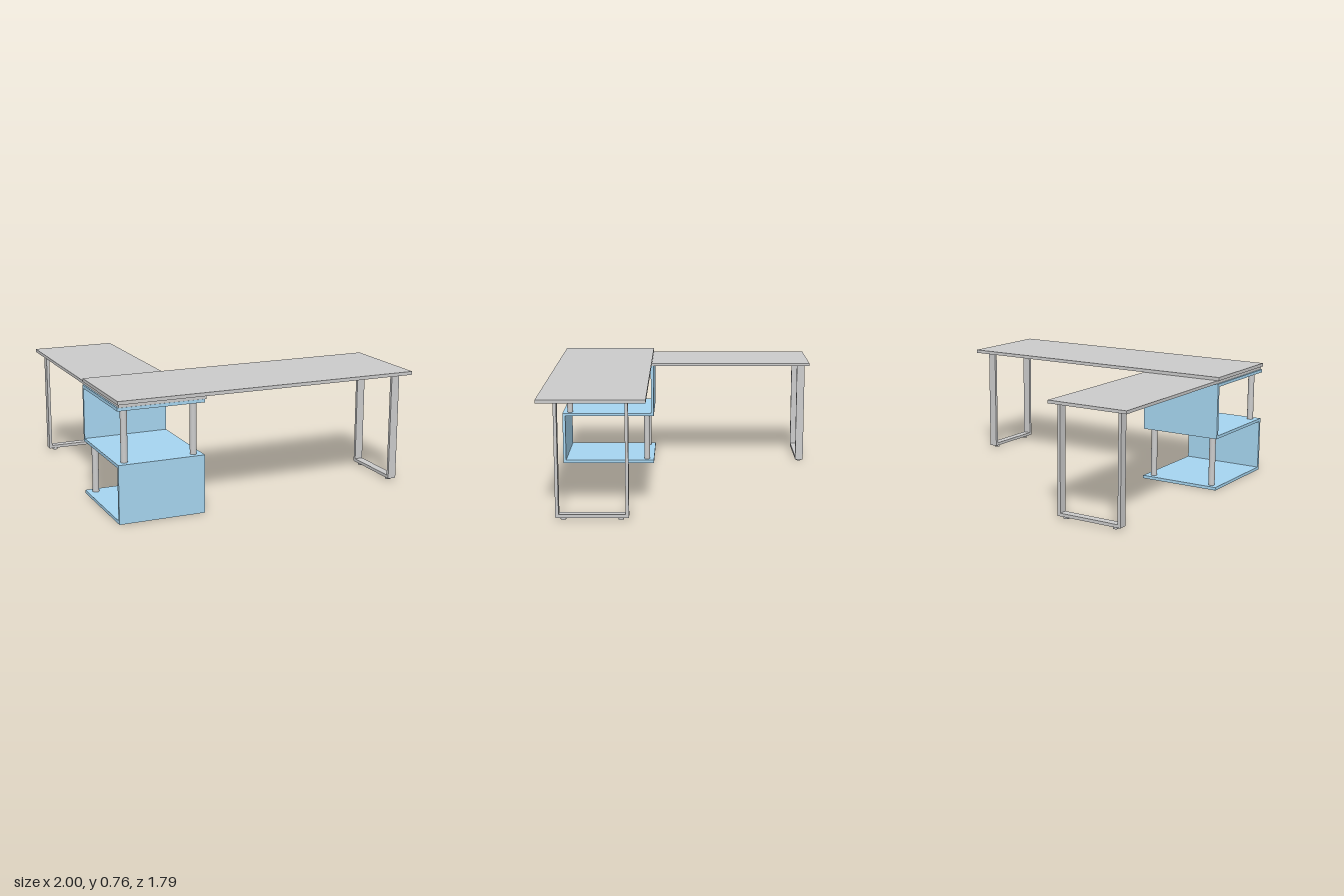
import * as THREE from 'three';

const grey = new THREE.MeshStandardMaterial({ color: 0xcccccc });
const blue = new THREE.MeshStandardMaterial({ color: 0xa6d5f0 });

// Slab given by its minimum and maximum corners
function slab(name, [x0, y0, z0], [x1, y1, z1]) {
  const mesh = new THREE.Mesh(new THREE.BoxGeometry(x1 - x0, y1 - y0, z1 - z0), grey);
  mesh.name = name;
  mesh.position.set((x0 + x1) / 2, (y0 + y1) / 2, (z0 + z1) / 2);
  return mesh;
}

// Upright cylinder between two heights
function post(name, radius, x, z, y0, y1) {
  const mesh = new THREE.Mesh(new THREE.CylinderGeometry(radius, radius, y1 - y0, 32), grey);
  mesh.name = name;
  mesh.position.set(x, (y0 + y1) / 2, z);
  return mesh;
}

// Outline in x and y, extruded along z
function profile(name, points, depth, material) {
  const shape = new THREE.Shape(points.map(([x, y]) => new THREE.Vector2(x, y)));
  const geometry = new THREE.ExtrudeGeometry(shape, { depth, bevelEnabled: false });
  const mesh = new THREE.Mesh(geometry, material);
  mesh.name = name;
  return mesh;
}

// U-shaped flat-bar leg on two round feet, spanning x
function legFrame(name, height) {
  const group = new THREE.Group();
  group.name = name;
  const w = 0.225, t = 0.02, base = 0.015, depth = 0.055;
  const bar = profile('legBar', [
    [-w, base], [w, base], [w, height], [w - t, height],
    [w - t, base + t], [-w + t, base + t], [-w + t, height], [-w, height],
  ], depth, grey);
  bar.position.z = -depth / 2;
  group.add(bar);
  for (const side of [-1, 1]) group.add(post('foot', 0.018, side * 0.177, 0, 0, base));
  return group;
}

export function createModel() {
  const desk = new THREE.Group();
  desk.name = 'cornerDesk';

  // Two overlapping worktops
  desk.add(slab('mainTop', [-1, 0.735, 0.232], [1, 0.757, 0.893]));
  desk.add(slab('returnTop', [-0.99, 0.715, -0.893], [-0.436, 0.735, 0.88]));

  // Leg frames at the free ends
  const mainLeg = legFrame('mainLeg', 0.735);
  mainLeg.rotation.y = Math.PI / 2;
  mainLeg.position.set(0.943, 0, 0.565);
  const returnLeg = legFrame('returnLeg', 0.715);
  returnLeg.position.set(-0.713, 0, -0.837);
  desk.add(mainLeg, returnLeg);

  // Folded shelf: one continuous S-shaped sheet
  const b = 0.222, f = 0.882, t = 0.02;
  const shelf = profile('foldedShelf', [
    [b, 0], [f, 0], [f, 0.368], [b + t, 0.368], [b + t, 0.695], [f, 0.695],
    [f, 0.715], [b, 0.715], [b, 0.348], [f - t, 0.348], [f - t, t], [b, t],
  ], 0.553, blue);
  shelf.rotation.y = -Math.PI / 2;
  shelf.position.x = -0.447;
  desk.add(shelf);

  // Round posts in the open sides of the shelf
  for (const x of [-0.945, -0.502]) {
    desk.add(post('frontPost', 0.021, x, 0.83, 0.368, 0.695));
    desk.add(post('rearPost', 0.021, x, 0.273, t, 0.348));
  }
  return desk;
}
